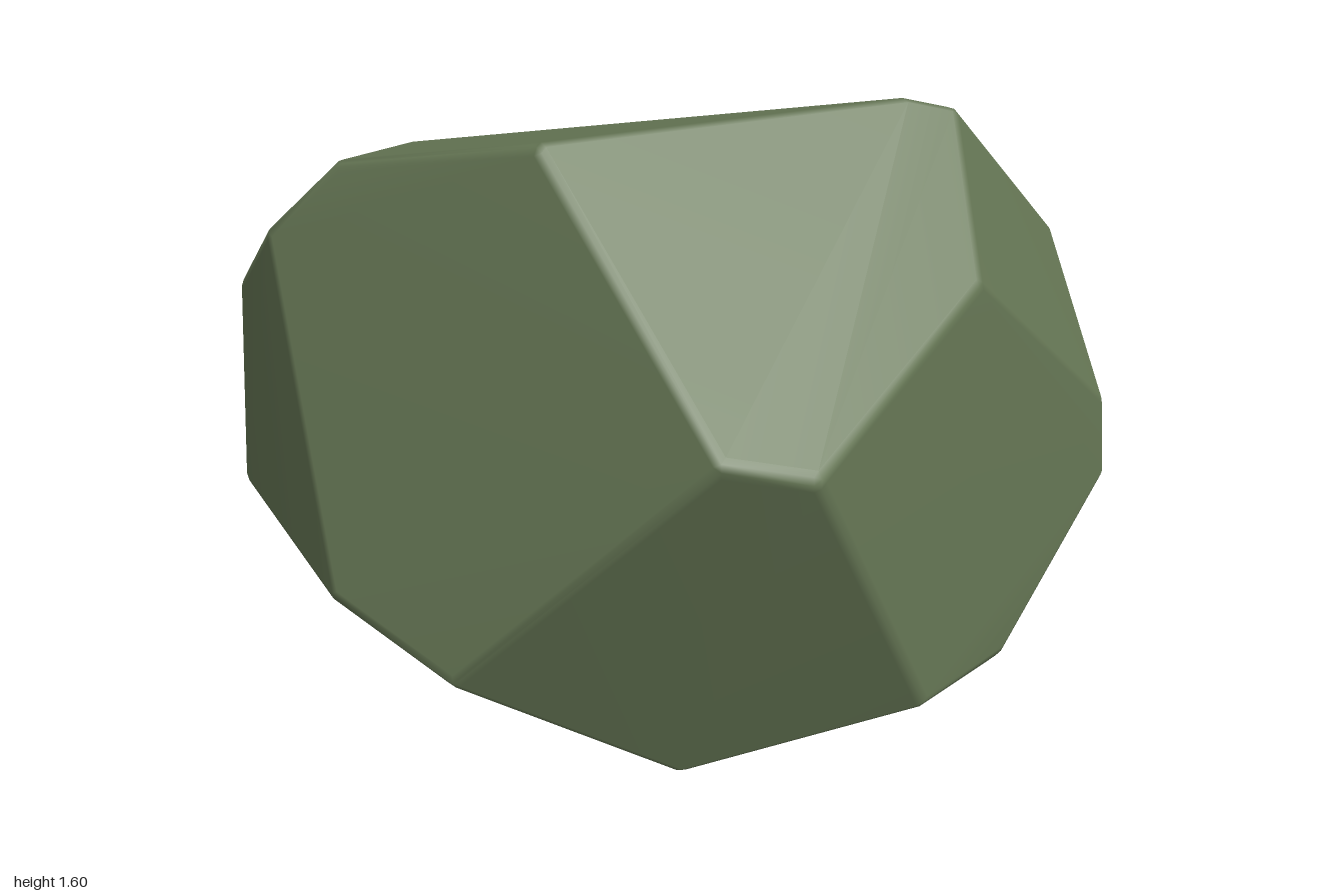
import * as THREE from 'three';
import { ConvexGeometry } from 'three/addons/geometries/ConvexGeometry.js';
import { mergeVertices } from 'three/addons/utils/BufferGeometryUtils.js';

// Corners of the stone, grouped by region
const corners = [
  // crown
  [-0.31, 1.59, 0.43], [0.47, 1.605, 0.19], [0.57, 1.58, 0.18], [-0.6, 1.4, -0.34],
  // front ridge
  [0.57, 1.3, 0.47], [0.18, 1.06, 0.86], [0, 1.1, 0.87],
  // left flank of the front view
  [-0.72, 1.48, 0.11], [-0.88, 1.32, 0.05], [-0.97, 1.15, -0.13],
  [-0.52, 0.53, 0.63], [-0.77, 0.62, 0.4], [-1, 0.68, -0.11], [-0.84, 0.51, -0.46],
  // right flank
  [0.88, 1.23, -0.1], [0.98, 0.87, 0.09], [1, 0.69, 0.08], [0.95, 0.53, -0.19], [0.81, 0.87, -0.5],
  // back
  [-0.73, 1.1, -0.67], [-0.64, 0.88, -0.87], [0.4, 0.65, -0.82],
  // underside
  [0.65, 0.1, -0.28], [0.11, 0, -0.1], [-0.04, 0.22, 0.53], [0.47, 0.41, 0.61], [0.7, 0.39, 0.38],
].map((p) => new THREE.Vector3(...p));

// Hull of small balls set just inside each corner: flat facets, rounded edges
function roundedHull(points, radius) {
  const centre = new THREE.Vector3(0, 0.8, 0);
  const ball = mergeVertices(new THREE.IcosahedronGeometry(radius, 1).deleteAttribute('uv').deleteAttribute('normal'));
  const ballPos = ball.getAttribute('position');
  const cloud = [];
  for (const p of points) {
    const inner = p.clone().addScaledVector(p.clone().sub(centre).normalize(), -radius * 1.1);
    for (let i = 0; i < ballPos.count; i++) {
      cloud.push(new THREE.Vector3().fromBufferAttribute(ballPos, i).add(inner));
    }
  }
  const hull = new ConvexGeometry(cloud);
  hull.deleteAttribute('normal');
  const smooth = mergeVertices(hull, 1e-4);
  smooth.computeVertexNormals();
  return smooth;
}

export function createModel() {
  const group = new THREE.Group();
  group.name = 'rock';
  const geometry = roundedHull(corners, 0.03);
  geometry.computeBoundingBox();
  geometry.translate(0, -geometry.boundingBox.min.y, 0);
  const stone = new THREE.Mesh(geometry, new THREE.MeshStandardMaterial({ color: 0x667755 }));
  stone.name = 'stone';
  group.add(stone);
  return group;
}
